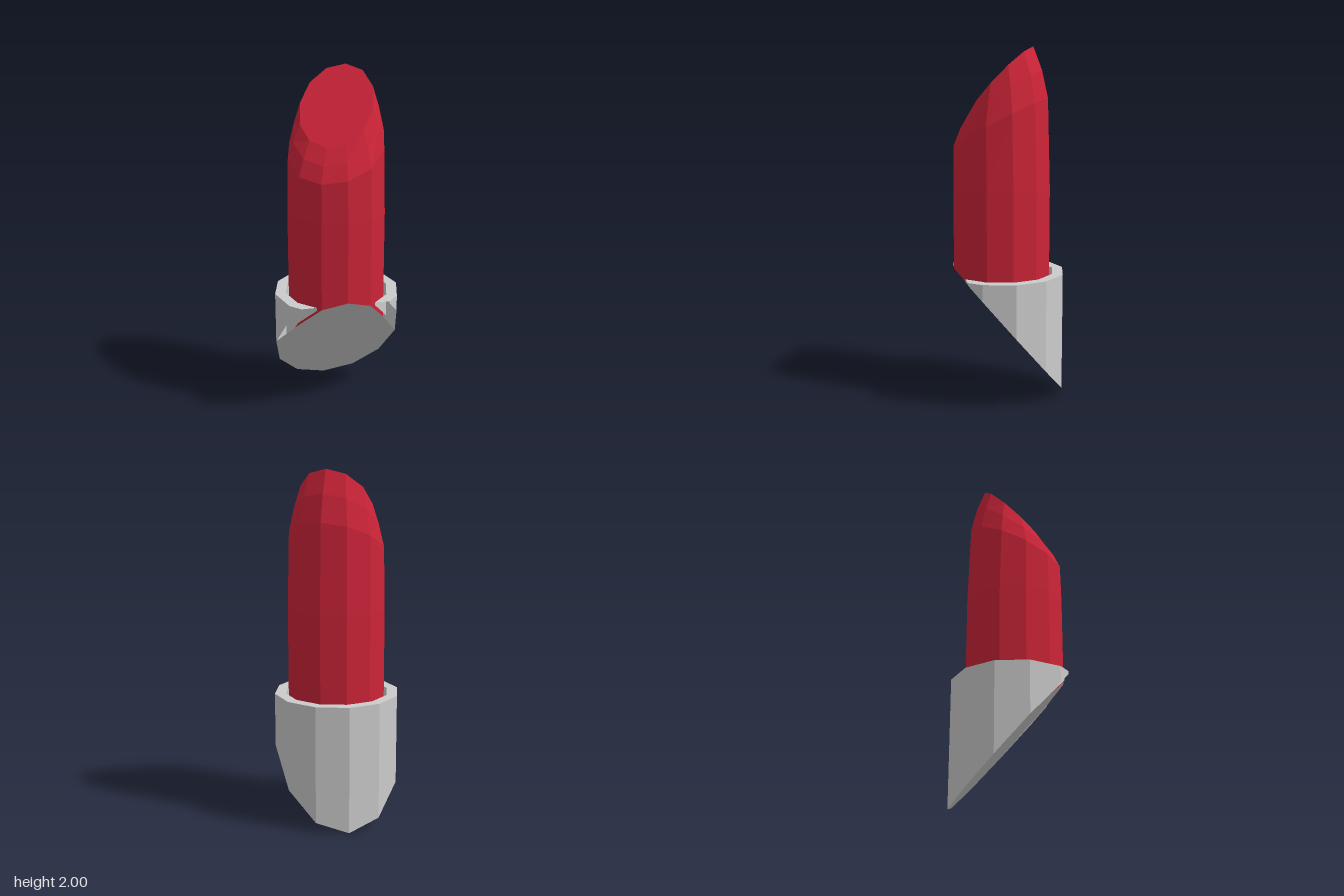
import * as THREE from 'three';

const SIDES = 12, CZ = 0.01, RIM_Y = 0.73;
const grey = new THREE.MeshStandardMaterial({ color: 0xcccccc, flatShading: true, side: THREE.DoubleSide });
const red = new THREE.MeshStandardMaterial({ color: 0xcc2438, flatShading: true, side: THREE.DoubleSide });

// Slanted plane that slices off the bottom
const cutY = (x, z) => 0.415 + 0.583 * x + 1.028 * z;

// Corner i of a twelve-sided ring, counterclockwise seen from above
function corner(i, rx, rz = rx, cz = CZ) {
  const a = (i / SIDES) * Math.PI * 2;
  return [rx * Math.cos(a), cz - rz * Math.sin(a)];
}
const raise = (points, height) => points.map(([x, z]) => new THREE.Vector3(x, height(x, z), z));
const range = (from, to) => Array.from({ length: to - from + 1 }, (_, k) => from + k);

// Skin between successive rows of equal length
function loft(rows, closed) {
  const n = rows[0].length, index = [];
  for (let r = 0; r < rows.length - 1; r++) {
    for (let i = 0; i < (closed ? n : n - 1); i++) {
      const j = (i + 1) % n, a = r * n, b = a + n;
      index.push(a + i, a + j, b + j, a + i, b + j, b + i);
    }
  }
  return new THREE.BufferGeometry().setFromPoints(rows.flat()).setIndex(index);
}

// Flat polygon filled as a fan around its middle
function fan(points) {
  const middle = points.reduce((s, p) => s.add(p), new THREE.Vector3()).divideScalar(points.length);
  const index = points.flatMap((_, i) => [0, i + 1, ((i + 1) % points.length) + 1]);
  return new THREE.BufferGeometry().setFromPoints([middle, ...points]).setIndex(index);
}

function addMesh(group, name, geometry, material) {
  geometry.computeVertexNormals();
  const mesh = new THREE.Mesh(geometry, material);
  mesh.name = name;
  group.add(mesh);
}

export function createModel() {
  const model = new THREE.Group();
  model.name = 'lipstick';

  // Holder: open tube whose walls run out where the cut meets the rim
  const outer = [[0.34, 0.10], ...range(0, 8).map(i => corner(i, 0.36)), [-0.10, 0.345]];
  const inner = [[0.265, 0.14], ...range(0, 8).map(i => corner(i, 0.298)), [-0.025, 0.303]];
  const lower = (x, z) => Math.min(cutY(x, z), RIM_Y);
  const rim = () => RIM_Y;
  addMesh(model, 'holder', loft([
    raise(outer, lower), raise(outer, rim), raise(inner, rim), raise(inner, lower),
  ], false), grey);

  // Slanted base: holder outline at the back, stick outline at the front
  const base = [...range(1, 7).map(i => corner(i, 0.36)), ...range(8, 12).map(i => corner(i, 0.28))];
  addMesh(model, 'slantedBase', fan(raise(base, cutY).reverse()), grey);

  // Stick: straight body, then rings that tilt towards the slanted tip
  const ring = (rx, rz, cz, height) => raise(range(0, SIDES - 1).map(i => corner(i, rx, rz, cz)), height);
  const tip = ring(0.207, 0.18, 0.01, (x, z) => 2 - 1.07 * (z + 0.17));
  addMesh(model, 'stick', loft([
    ring(0.28, 0.28, CZ, cutY),
    ring(0.28, 0.28, CZ, () => 1.22),
    ring(0.272, 0.27, 0.015, (x, z) => 1.58 - 0.52 * (z - 0.015)),
    ring(0.242, 0.233, 0.013, (x, z) => 1.7 - 0.74 * (z - 0.013)),
    tip,
  ], true), red);
  addMesh(model, 'stickTip', fan(tip.map(p => p.clone())), red);

  return model;
}
